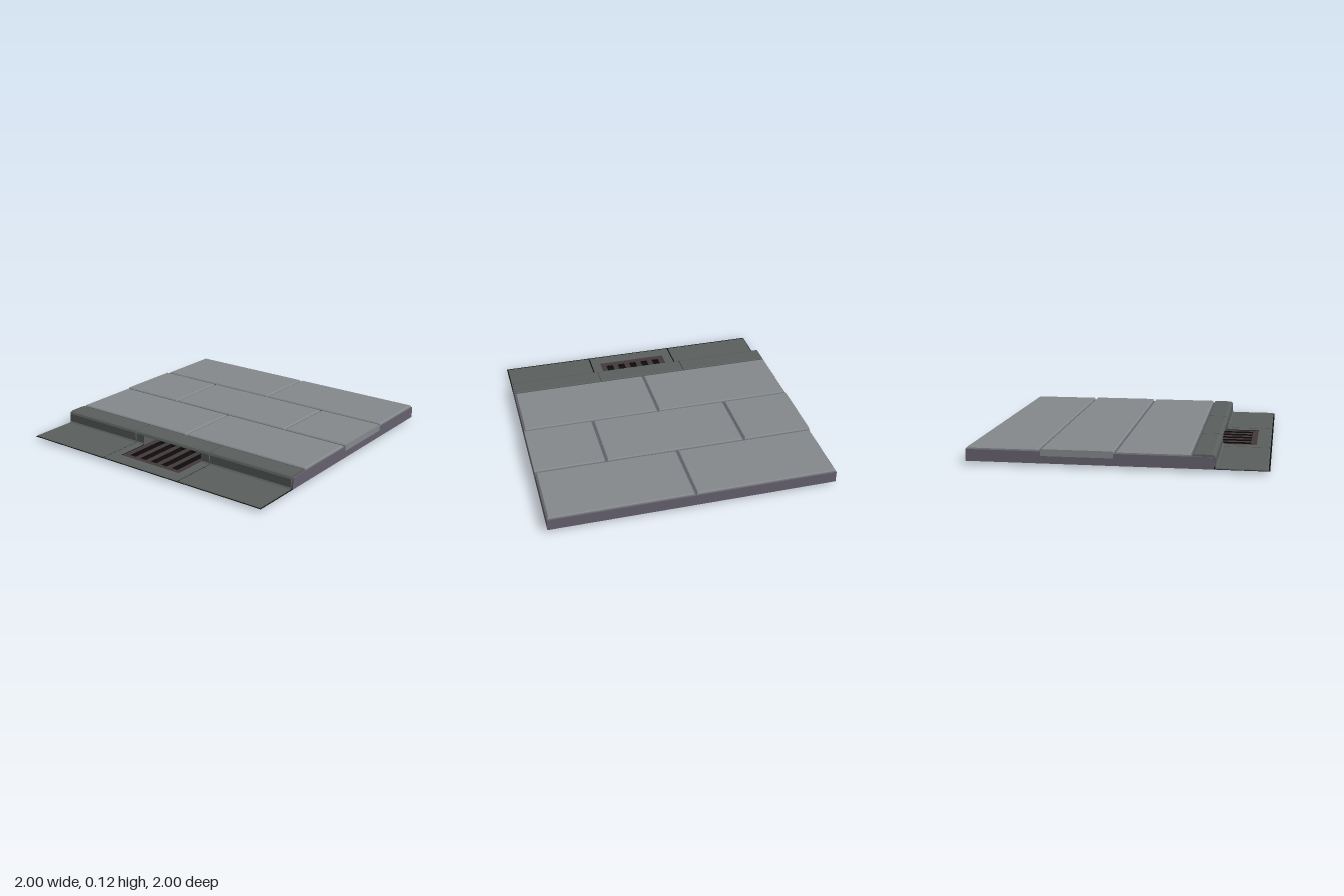
import * as THREE from 'three';
import { mergeGeometries } from 'three/addons/utils/BufferGeometryUtils.js';

const mat = (color) => new THREE.MeshStandardMaterial({ color, flatShading: true, side: THREE.DoubleSide });

// Flat-shaded geometry from points and triangle indices
function faceted(points, index) {
  const g = new THREE.BufferGeometry();
  g.setAttribute('position', new THREE.Float32BufferAttribute(points.flat(), 3));
  g.setIndex(index);
  const flat = g.toNonIndexed();
  flat.computeVertexNormals();
  return flat;
}

// Sheet that follows a [z, y] profile from x0 to x1
function ribbon(profile, x0, x1) {
  const points = [], index = [];
  profile.forEach(([z, y], i) => {
    points.push([x0, y, z], [x1, y, z]);
    if (i) {
      const a = 2 * i - 2;
      index.push(a, a + 2, a + 1, a + 1, a + 2, a + 3);
    }
  });
  return faceted(points, index);
}

const shapeOf = (pts) => new THREE.Shape(pts.map(([x, y]) => new THREE.Vector2(x, y)));
const rect = (x0, x1, y0, y1) => [[x0, y0], [x1, y0], [x1, y1], [x0, y1]];

function plain(g) {
  const flat = g.toNonIndexed();
  flat.deleteAttribute('uv');
  return flat;
}

// End wall across x, outlined in [z, y]
const endCap = (outline, x) => plain(new THREE.ShapeGeometry(shapeOf(outline)).rotateY(-Math.PI / 2).translate(x, 0, 0));

// Horizontal sheet at height y, outlined in [x, z], with holes
function sheet(outline, holes, y) {
  const s = shapeOf(outline);
  s.holes = holes.map(shapeOf);
  return plain(new THREE.ShapeGeometry(s).rotateX(Math.PI / 2).translate(0, y, 0));
}

// Four-sided shell through rings [x0, x1, z0, z1, y], closed at the last ring
function shell(rings) {
  const points = [], index = [];
  rings.forEach(([x0, x1, z0, z1, y], r) => {
    points.push([x0, y, z1], [x1, y, z1], [x1, y, z0], [x0, y, z0]);
    if (r) {
      for (let i = 0; i < 4; i++) {
        const a = 4 * (r - 1) + i, b = 4 * (r - 1) + (i + 1) % 4;
        index.push(a, b, b + 4, a, b + 4, a + 4);
      }
    }
  });
  const k = 4 * (rings.length - 1);
  index.push(k, k + 1, k + 2, k, k + 2, k + 3);
  return faceted(points, index);
}

export function createModel() {
  const group = new THREE.Group();
  const stone = mat(0x85898c), kerb = mat(0x5a605e), mortar = mat(0x65616e);
  const iron = mat(0x45393a), black = mat(0x0e0e0e);
  const add = (name, geometry, material) => {
    const m = new THREE.Mesh(geometry, material);
    m.name = name;
    group.add(m);
  };

  // Mortar base: open below, with a notch in its front wall for the drain
  const side = rect(-1, 0.64, 0.02, 0.1);
  const front = shapeOf([[-1, 0.02], [-0.26, 0.02], [-0.26, 0.09], [0.26, 0.09], [0.26, 0.02], [1, 0.02], [1, 0.1], [-1, 0.1]]);
  add('base', mergeGeometries([
    ribbon([[-1, 0.02], [-1, 0.1], [0.64, 0.1]], -1, 1),
    endCap(side, -1), endCap(side, 1),
    plain(new THREE.ShapeGeometry(front).translate(0, 0, 0.64)),
  ]), mortar);

  // Paving slabs in staggered rows, bevelled except where cut at the border
  const gap = 0.008, bevel = 0.007;
  const slab = (x0, x1, z0, z1) => {
    const b0 = x0 < -1 ? 0 : bevel, b1 = x1 > 1 ? 0 : bevel;
    add('pavingSlab', shell([
      [x0, x1, z0, z1, 0.07],
      [x0, x1, z0, z1, 0.109],
      [x0 + b0, x1 - b1, z0 + bevel, z1 - bevel, 0.116],
    ]), stone);
  };
  [[-0.993, -0.5 - gap], [gap, 0.5 - gap]].forEach(([z0, z1]) => {
    slab(-0.993, -gap, z0, z1);
    slab(gap, 0.993, z0, z1);
  });
  const z0 = -0.5 + gap, z1 = -gap;
  slab(-1.001, -0.5 - gap, z0, z1);
  slab(-0.5 + gap, 0.5 - gap, z0, z1);
  slab(0.5 + gap, 1.001, z0, z1);

  // Kerb and gutter: one profile in three lengths
  const top = [[0.505, 0.07], [0.505, 0.108], [0.511, 0.114], [0.632, 0.114], [0.647, 0.108], [0.654, 0.094]];
  const foot = [[0.654, 0.036], [0.664, 0.026]];
  const lip = [[0.982, 0.026], [0.99, 0.021]];
  const profile = [...top, ...foot, ...lip];
  const outline = [...profile, [0.654, 0.021], [0.64, 0.07]];
  const ends = (x0, x1) => [endCap(outline, x0), endCap(outline, x1)];
  for (const [a, b] of [[-0.992, -0.336], [0.336, 0.992]]) {
    add('kerbAndGutter', mergeGeometries([ribbon(profile, a, b), ...ends(a, b)]), kerb);
  }
  add('drainKerb', mergeGeometries([
    ribbon(profile, -0.326, -0.258),
    ribbon(profile, 0.258, 0.326),
    ribbon([...top, [0.654, 0.09]], -0.258, 0.258),
    ribbon([[0.892, 0.021], [0.892, 0.026], ...lip], -0.258, 0.258),
    ...ends(-0.326, 0.326),
  ]), kerb);

  // Drain mouth recessed into the kerb
  const mouth = rect(0.515, 0.654, 0.022, 0.09);
  add('drainMouth', mergeGeometries([
    ribbon([[0.515, 0.022], [0.515, 0.09], [0.654, 0.09]], -0.258, 0.258),
    endCap(mouth, -0.258), endCap(mouth, 0.258),
  ]), kerb);

  // Dark bed under the gutter, open around the grate
  const bed = [[-1, 0.64], [-0.258, 0.64], [-0.258, 0.892], [0.258, 0.892], [0.258, 0.64], [1, 0.64], [1, 1], [-1, 1]];
  add('gutterBed', sheet(bed, [], 0.02), black);

  // Grate with five slots, each a sunken trough
  const slots = [-2, -1, 0, 1, 2].map((i) => [i * 0.094 - 0.026, i * 0.094 + 0.026, 0.52, 0.85]);
  add('grate', sheet(rect(-0.258, 0.258, 0.515, 0.892), slots.map((s) => rect(...s)), 0.022), iron);
  slots.forEach((s) => {
    add('grateSlot', shell([[...s, 0.022], [...s, 0]]), black);
  });

  return group;
}
